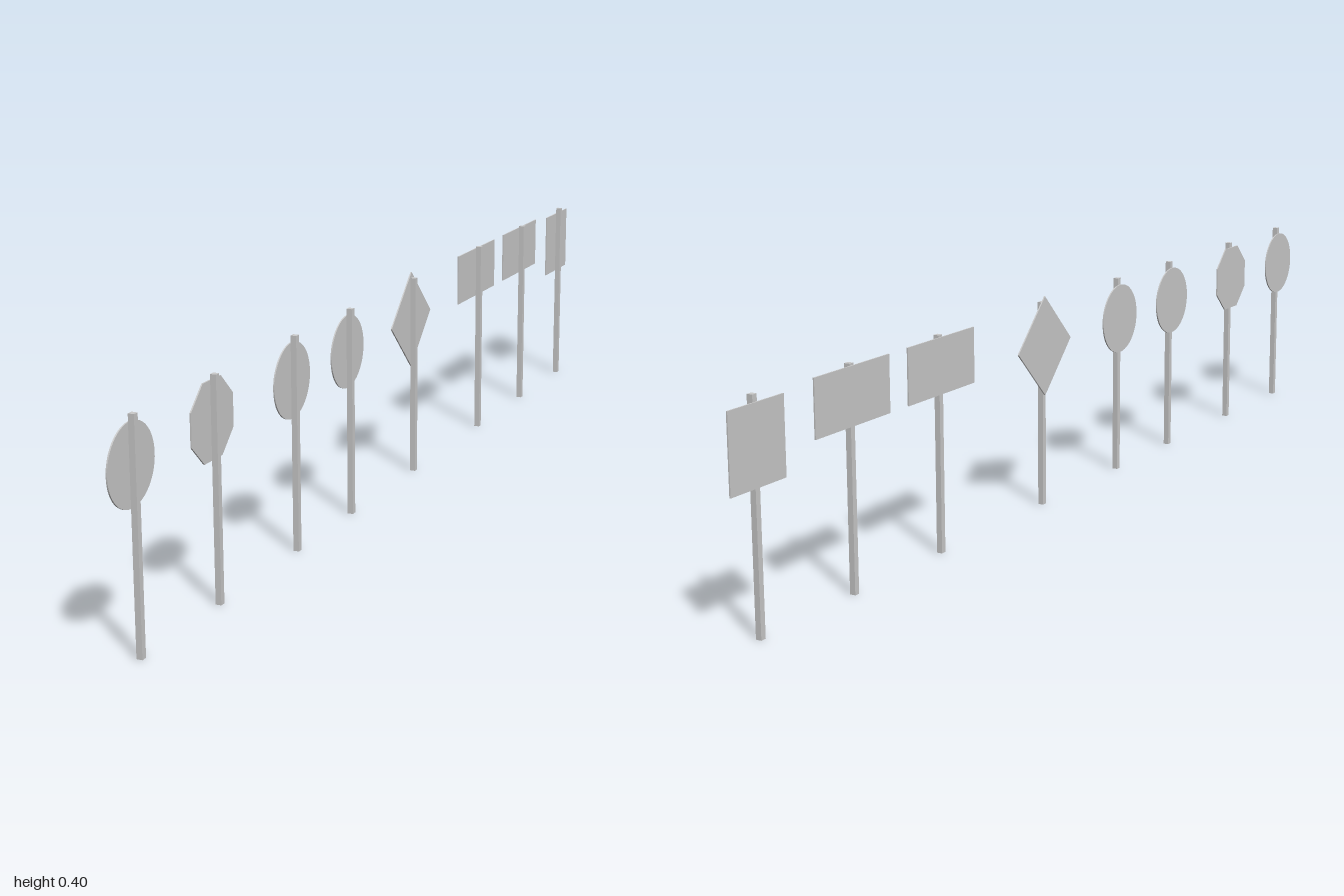
import * as THREE from 'three';

const material = new THREE.MeshStandardMaterial({ color: 0xcccccc, flatShading: true });
const POST_HEIGHT = 0.385, POST_SIZE = 0.0105;
const PLATE_BACK = -0.004, PLATE_THICKNESS = 0.0025;

// Plate outlines, centred on the origin
const polygon = (points) => new THREE.Shape(points.map(([x, y]) => new THREE.Vector2(x, y)));
const rectangle = (w, h) => polygon([[-w, -h], [w, -h], [w, h], [-w, h]]);
const diamond = (r) => polygon([[0, -r], [r, 0], [0, r], [-r, 0]]);
const disc = (r) => new THREE.Shape().absarc(0, 0, r, 0, Math.PI * 2);
const octagon = (w, h) => {
  const a = w * 0.43, b = h * 0.43;
  return polygon([[-a, -h], [a, -h], [w, -b], [w, b], [a, h], [-a, h], [-w, b], [-w, -b]]);
};

// One sign: square post with a thin plate on its -x side
function makeSign(name, shape, plateY, z) {
  const sign = new THREE.Group();
  sign.name = name;
  sign.position.z = z;

  const post = new THREE.Mesh(new THREE.BoxGeometry(POST_SIZE, POST_HEIGHT, POST_SIZE), material);
  post.name = 'post';
  post.position.set(PLATE_BACK + POST_SIZE / 2, POST_HEIGHT / 2, 0);

  const geometry = new THREE.ExtrudeGeometry(shape, {
    depth: PLATE_THICKNESS, bevelEnabled: false, curveSegments: 32,
  });
  geometry.rotateY(-Math.PI / 2);
  const plate = new THREE.Mesh(geometry, material);
  plate.name = 'plate';
  plate.position.set(PLATE_BACK, plateY, 0);

  sign.add(post, plate);
  return sign;
}

export function createModel() {
  const model = new THREE.Group();
  model.name = 'roadSigns';
  const signs = [
    ['roundSign1', disc(0.067), 0.305, 0.933],
    ['octagonSign', octagon(0.068, 0.066), 0.309, 0.687],
    ['roundSign2', disc(0.067), 0.305, 0.408],
    ['roundSign3', disc(0.067), 0.305, 0.187],
    ['diamondSign', diamond(0.093), 0.303, -0.1],
    ['wideSign1', rectangle(0.1, 0.0495), 0.332, -0.44],
    ['wideSign2', rectangle(0.1, 0.0495), 0.332, -0.693],
    ['squareSign', rectangle(0.066, 0.066), 0.307, -0.934],
  ];
  for (const sign of signs) model.add(makeSign(...sign));
  return model;
}
